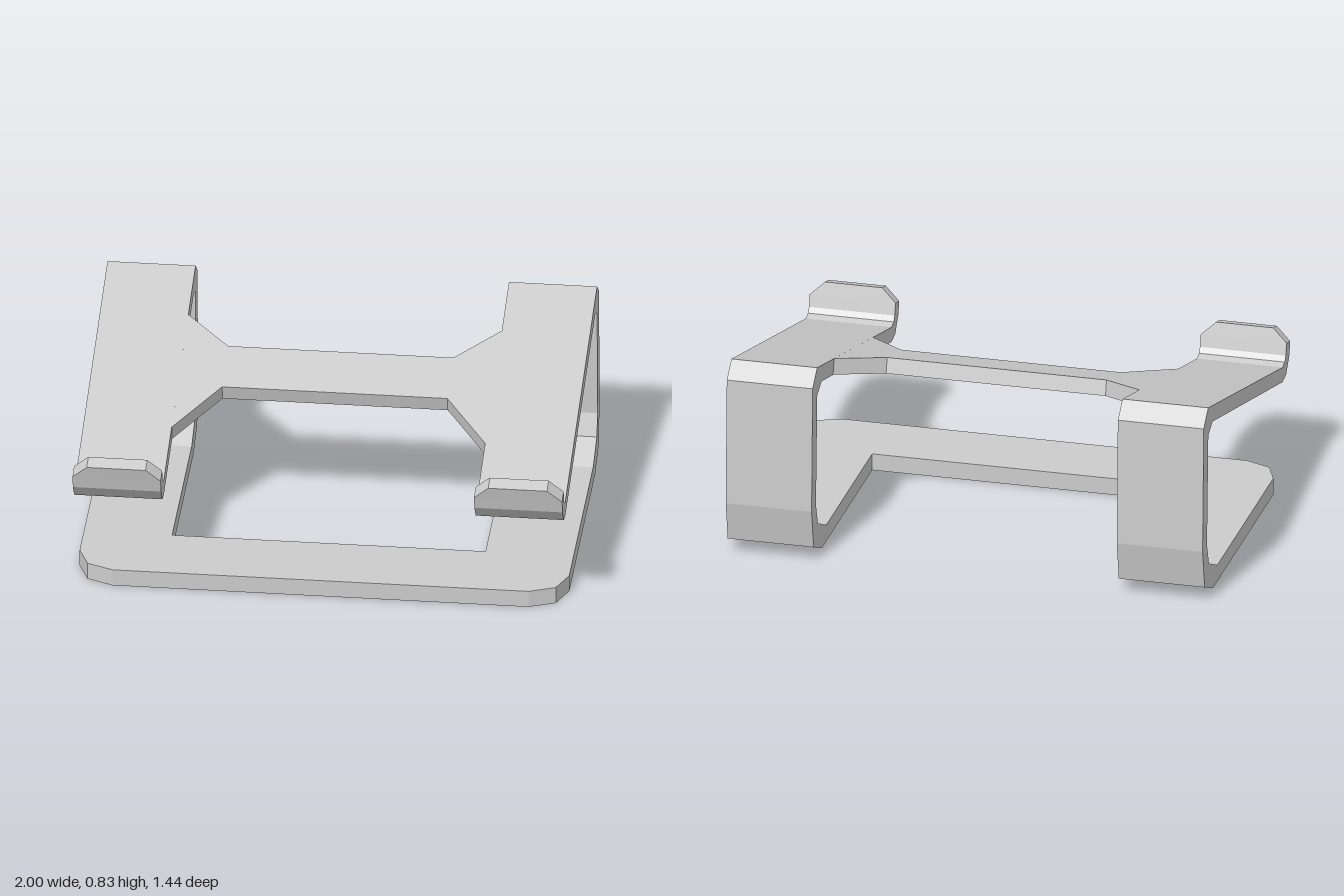
import * as THREE from 'three';

const V = (x, y, z) => new THREE.Vector3(x, y, z);

// Extrude an outline, then lay its u, v and depth axes along the given directions from an origin.
function slab(points, depth, u, v, origin) {
  const shape = new THREE.Shape(points.map(([a, b]) => new THREE.Vector2(a, b)));
  const geo = new THREE.ExtrudeGeometry(shape, { depth, bevelEnabled: false });
  const w = u.clone().cross(v);
  geo.applyMatrix4(new THREE.Matrix4().makeBasis(u, v, w).setPosition(origin));
  return geo;
}

export function createModel() {
  const group = new THREE.Group();
  const grey = new THREE.MeshStandardMaterial({ color: 0xcccccc });
  grey.name = 'light grey';
  const add = (name, geo) => {
    const mesh = new THREE.Mesh(geo, grey);
    mesh.name = name;
    group.add(mesh);
  };

  const inner = 0.64, width = 0.36, barBack = 0.265;

  // Side strip profile as (z, y): base, back upright, sloping rest, hook
  const profile = [
    [barBack, 0], [-0.555, 0], [-0.69, 0.06], [-0.722, 0.23], [-0.705, 0.768], [-0.63, 0.83],
    [0.58, 0.5], [0.617, 0.508], [0.632, 0.53], [0.645, 0.58],
    [0.7045, 0.564], [0.69, 0.508], [0.64, 0.445], [0.58, 0.435],
    [-0.56, 0.74], [-0.63, 0.708], [-0.651, 0.23], [-0.62, 0.137], [-0.483, 0.072], [barBack, 0.072],
  ];
  // Hook tip with clipped corners, continuing along the hook's lean
  const lean = V(0, 0.965, 0.263).normalize();
  const h = width / 2;
  const tip = [[-h, 0], [h, 0], [h - 0.06, 0.057], [-h + 0.06, 0.057]];

  for (const [side, start] of [['left', inner + width], ['right', -inner]]) {
    add(side + 'SideStrip', slab(profile, width, V(0, 0, 1), V(0, 1, 0), V(start, 0, 0)));
    add(side + 'HookTip', slab(tip, 0.0617, V(1, 0, 0), lean, V(start - h, 0.58, 0.645)));
  }

  // Front base bar with rounded outer corners
  const r = 0.15, front = 0.58;
  const corner = [0, 1, 2].map((i) => {
    const a = (i * Math.PI) / 4;
    return [1 - r + r * Math.cos(a), -(front - r + r * Math.sin(a))];
  });
  const half = [[1, -barBack], ...corner];
  const bar = [...half, ...half.map(([x, y]) => [-x, y]).reverse()];
  add('frontBaseBar', slab(bar, 0.072, V(1, 0, 0), V(0, 0, -1), V(0, 0, 0)));

  // Sloping bridge between the rests, flared where it meets them
  const slope = Math.atan(0.2727), c = Math.cos(slope), s = Math.sin(slope), thick = 0.066;
  const edge = [[inner, 0.28], [inner, -0.355], [0.46, -0.19]].map(([x, z]) => [x, -z / c]);
  const neck = [0.46, -0.04 / c];
  const right = [neck, ...edge];
  const bridge = [...right, ...right.map(([x, y]) => [-x, y]).reverse()];
  add('bridge', slab(bridge, thick, V(1, 0, 0), V(0, s, -c), V(0, 0.658 - thick * c, -thick * s)));

  return group;
}
